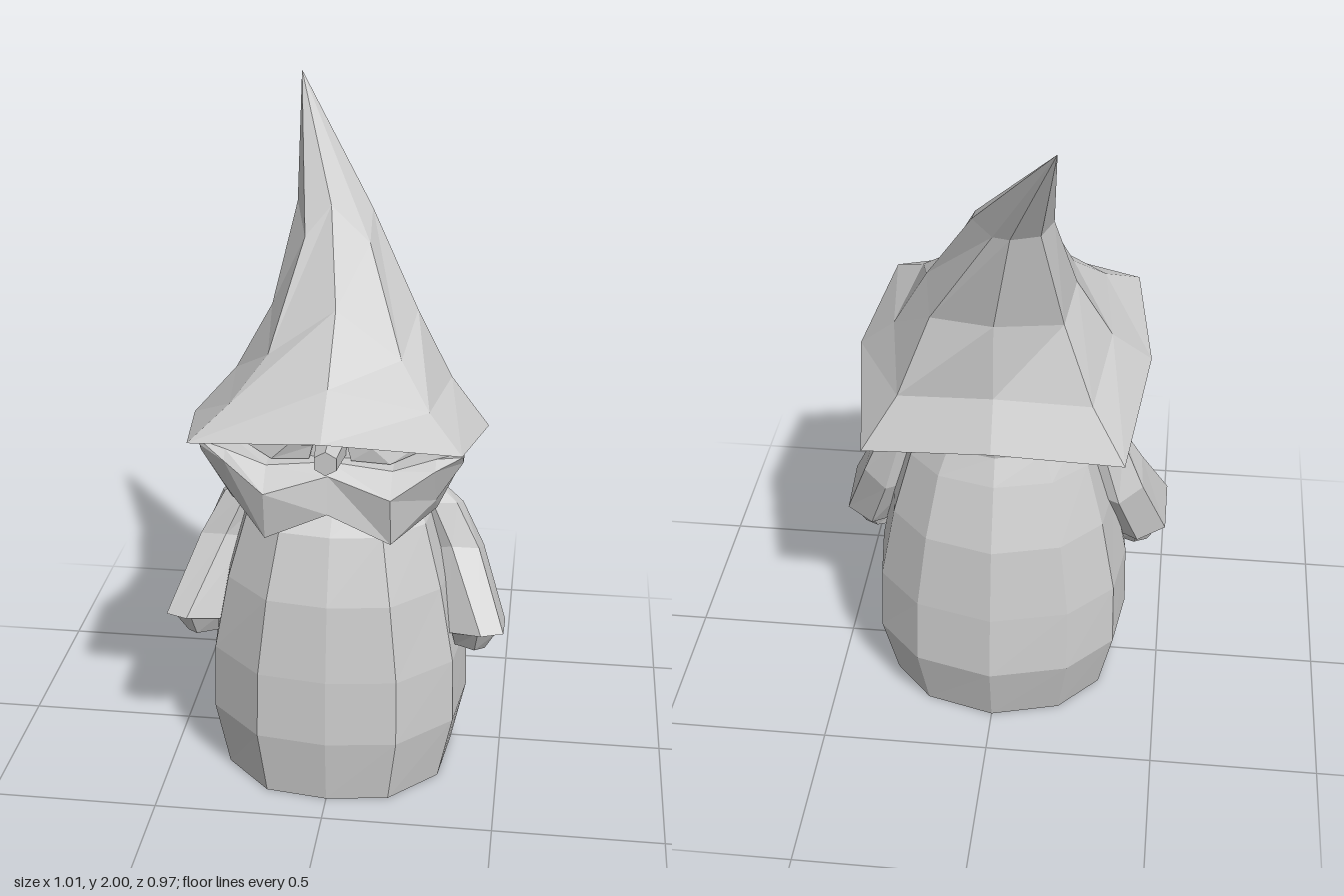
import * as THREE from 'three';

const material = new THREE.MeshStandardMaterial({ color: 0xcccccc, flatShading: true, side: THREE.DoubleSide });

// Skin a list of equal-length rings; each ring runs counter-clockwise seen from the far end.
function loft(name, rings, capStart = true, capEnd = true) {
  const pos = [];
  const tri = (a, b, c) => pos.push(...a, ...b, ...c);
  const n = rings[0].length;
  for (let r = 0; r < rings.length - 1; r++) {
    for (let i = 0; i < n; i++) {
      const j = (i + 1) % n, a = rings[r], b = rings[r + 1];
      tri(a[i], a[j], b[j]);
      tri(a[i], b[j], b[i]);
    }
  }
  const mid = (ring) => [0, 1, 2].map((k) => ring.reduce((s, p) => s + p[k], 0) / n);
  const first = rings[0], last = rings[rings.length - 1];
  for (let i = 0; i < n; i++) {
    const j = (i + 1) % n;
    if (capStart) tri(mid(first), first[j], first[i]);
    if (capEnd) tri(mid(last), last[i], last[j]);
  }
  const geometry = new THREE.BufferGeometry();
  geometry.setAttribute('position', new THREE.Float32BufferAttribute(pos, 3));
  geometry.computeVertexNormals();
  const mesh = new THREE.Mesh(geometry, material);
  mesh.name = name;
  return mesh;
}

// Mirror rings across x, keeping their winding.
const mirrorRings = (rings) => rings.map((ring) => ring.map(([x, y, z]) => [-x, y, z]).reverse());

// Close a half ring (front to back along +x) with its mirror image.
const fullRing = (half) => [...half, ...half.slice(1, -1).reverse().map(([x, y, z]) => [-x, y, z])];

// Twelve-sided squarish ring: half width, front z, back z.
const outline = [[0, 1], [0.53, 0.93], [0.93, 0.55], [1, 0], [0.93, -0.5], [0.59, -0.85], [0, -1]];
function bodyRing(y, w, front, back) {
  const c = (front + back) / 2, d = (front - back) / 2;
  return fullRing(outline.map(([u, v]) => [w * u, y, c + d * v]));
}

export function createModel() {
  const model = new THREE.Group();
  model.name = 'gnome';

  // Robe, narrowing into the shoulders
  model.add(loft('robe', [
    bodyRing(0, 0.345, 0.40, -0.35),
    bodyRing(0.2, 0.39, 0.42, -0.40),
    bodyRing(0.4, 0.385, 0.405, -0.38),
    bodyRing(0.63, 0.34, 0.37, -0.345),
    bodyRing(0.82, 0.285, 0.3, -0.275),
    bodyRing(0.9, 0.24, 0.2, -0.235),
  ]));

  // Head, flaring up from the neck into the hat
  model.add(loft('head', [
    bodyRing(0.89, 0.24, 0.2, -0.235),
    bodyRing(0.97, 0.265, 0.24, -0.245),
    bodyRing(1.05, 0.285, 0.265, -0.265),
    bodyRing(1.15, 0.25, 0.25, -0.22),
  ]));

  // Bent pointed hat: inner brim edge, drooping brim, cone, tip
  model.add(loft('hat', [
    fullRing([[0, 1.14, 0.25], [0.2, 1.13, 0.22], [0.27, 1.1, 0], [0.22, 1.04, -0.2], [0, 1.04, -0.25]]),
    fullRing([[0, 1.19, 0.485], [0.38, 1.15, 0.425], [0.435, 1.09, 0.05], [0.38, 0.945, -0.305], [0, 0.99, -0.35]]),
    fullRing([[0, 1.29, 0.335], [0.28, 1.225, 0.305], [0.32, 1.21, -0.02], [0.28, 1.1, -0.24], [0, 1.13, -0.275]]),
    fullRing([[0, 1.46, 0.155], [0.19, 1.33, 0.185], [0.215, 1.4, -0.055], [0.19, 1.33, -0.18], [0, 1.36, -0.262]]),
    [[-0.045, 1.69, -0.1], [0.075, 1.6, -0.04], [0.065, 1.66, -0.2], [0.0, 1.65, -0.28],
      [-0.05, 1.66, -0.31], [-0.13, 1.66, -0.28], [-0.16, 1.67, -0.21], [-0.115, 1.61, -0.045]],
    Array.from({ length: 8 }, () => [-0.185, 2, -0.485]),
  ], true, false));

  // Moustache: sections across x, each [y, z] from top back round the front
  const sections = [
    [0, [[1.06, 0.2], [1.06, 0.30], [1.03, 0.335], [0.92, 0.355], [0.88, 0.22]]],
    [0.18, [[1.05, 0.2], [1.045, 0.31], [0.98, 0.37], [0.835, 0.35], [0.84, 0.27]]],
    [0.3, [[1.07, 0.18], [1.08, 0.29], [1.05, 0.31], [0.94, 0.26], [0.89, 0.2]]],
    [0.375, [[1.09, 0.22], [1.1, 0.28], [1.085, 0.28], [1.06, 0.26], [1.06, 0.22]]],
  ];
  const ringAt = ([x, pts], s) => pts.map(([y, z]) => [s * x, y, z]);
  model.add(loft('moustache', [
    ...sections.slice(1).reverse().map((q) => ringAt(q, -1)),
    ...sections.map((q) => ringAt(q, 1)),
  ]));

  // Nose
  const nose = new THREE.Mesh(new THREE.CylinderGeometry(0.036, 0.05, 0.14, 6), material);
  nose.name = 'nose';
  nose.rotation.x = Math.PI / 2;
  nose.position.set(0, 1.09, 0.315);
  model.add(nose);

  // Sleeves, hands and eyes, mirrored
  const sleeve = [
    [[0.34, 0.48, 0.2], [0.44, 0.5, 0.25], [0.505, 0.5, 0.225], [0.505, 0.46, 0.06], [0.42, 0.45, 0], [0.34, 0.45, 0.05]],
    [[0.27, 0.7, 0.08], [0.34, 0.72, 0.11], [0.42, 0.71, 0.09], [0.43, 0.67, -0.02], [0.36, 0.63, -0.06], [0.27, 0.66, -0.05]],
    [[0.23, 0.82, 0.06], [0.28, 0.85, 0.09], [0.35, 0.84, 0.06], [0.365, 0.82, 0], [0.31, 0.81, -0.06], [0.23, 0.8, -0.05]],
    [[0.24, 0.88, 0.03], [0.26, 0.89, 0.04], [0.29, 0.885, 0.03], [0.3, 0.88, 0], [0.27, 0.88, -0.02], [0.24, 0.88, -0.02]],
  ];
  const hand = [
    [[0.36, 0.425, 0.17], [0.42, 0.425, 0.2], [0.45, 0.425, 0.18], [0.45, 0.41, 0.06], [0.41, 0.41, 0.04], [0.36, 0.41, 0.06]],
    [[0.35, 0.49, 0.2], [0.43, 0.5, 0.235], [0.48, 0.49, 0.21], [0.48, 0.465, 0.05], [0.42, 0.46, 0.01], [0.35, 0.46, 0.05]],
  ];
  const eye = [
    [[0.06, 1.06, 0.285], [0.17, 1.05, 0.275], [0.25, 1.07, 0.22], [0.06, 1.06, 0.2]],
    [[0.05, 1.1, 0.285], [0.12, 1.1, 0.285], [0.26, 1.1, 0.22], [0.05, 1.1, 0.2]],
  ];
  for (const [part, rings] of [['Sleeve', sleeve], ['Hand', hand], ['Eye', eye]]) {
    model.add(loft('left' + part, rings));
    model.add(loft('right' + part, mirrorRings(rings)));
  }
  return model;
}
